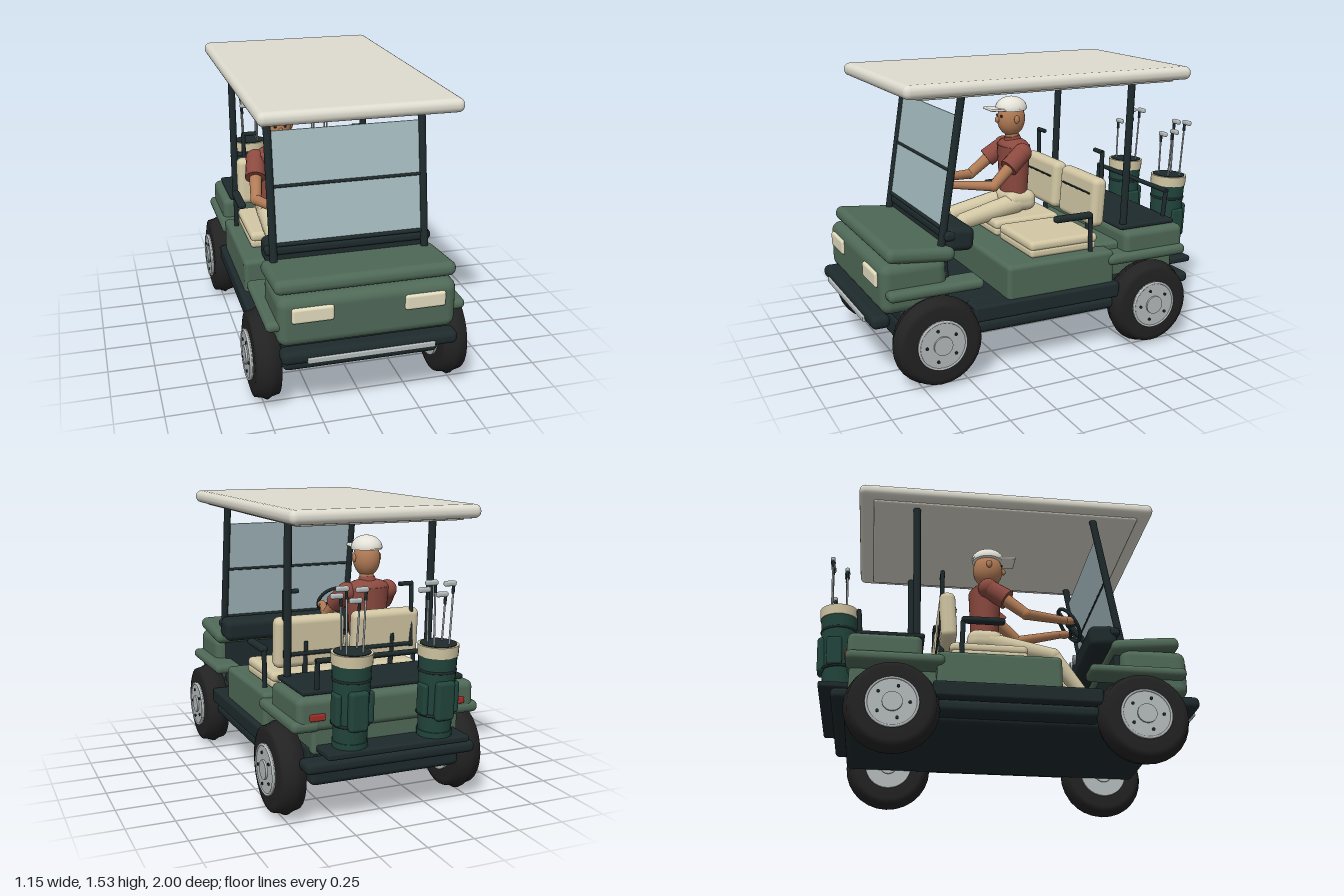
import * as THREE from 'three';
import { RoundedBoxGeometry } from 'three/addons/geometries/RoundedBoxGeometry.js';

const C = {
  green: 0x4f6957, dark: 0x1e2a2c, black: 0x222222, cream: 0xd2c7a4, roof: 0xdedccf, silver: 0xb4babb,
  glass: 0xa5bbc0, bag: 0x21453c, shirt: 0x8c4a40, skin: 0xb27c56, white: 0xe4e2d8, lamp: 0xe0dabc, red: 0xa02c28,
};
const mats = {};
const mat = (c) => (mats[c] ??= new THREE.MeshStandardMaterial({ color: C[c] }));
const V = (a) => new THREE.Vector3(...a);

function add(parent, name, geo, color, pos = [0, 0, 0], rot = [0, 0, 0]) {
  const m = new THREE.Mesh(geo, mat(color));
  m.name = name;
  m.position.set(...pos);
  m.rotation.set(...rot);
  parent.add(m);
  return m;
}
// rounded box given by size and centre
function box(parent, name, color, size, pos, r = 0.02, rx = 0) {
  const rad = Math.min(r, Math.min(...size) * 0.48);
  return add(parent, name, new RoundedBoxGeometry(...size, 3, rad), color, pos, [rx, 0, 0]);
}
// tapered rod between two points
function rod(parent, name, color, a, b, ra, rb = ra, sides = 14) {
  const A = V(a), B = V(b), d = B.clone().sub(A);
  const m = add(parent, name, new THREE.CylinderGeometry(rb, ra, d.length(), sides), color);
  m.position.copy(A).add(B).multiplyScalar(0.5);
  m.quaternion.setFromUnitVectors(new THREE.Vector3(0, 1, 0), d.normalize());
  return m;
}
function ball(parent, name, color, pos, scale) {
  const m = add(parent, name, new THREE.SphereGeometry(1, 20, 14), color, pos);
  m.scale.set(...scale);
  return m;
}
function group(parent, name) {
  const g = new THREE.Group();
  g.name = name;
  parent.add(g);
  return g;
}

function buildWheel(parent, s, z) {
  const w = group(parent, 'wheel');
  w.position.set(s * 0.487, 0.24, z);
  w.rotation.z = -s * Math.PI / 2; // local +y points outward
  const tire = [[0.125, -0.067], [0.19, -0.067], [0.218, -0.06], [0.226, -0.022], [0.238, 0],
    [0.226, 0.022], [0.218, 0.06], [0.19, 0.067], [0.125, 0.067]].map((p) => new THREE.Vector2(...p));
  add(w, 'tire', new THREE.LatheGeometry(tire, 28), 'black');
  add(w, 'rim', new THREE.CylinderGeometry(0.13, 0.13, 0.16, 32), 'silver');
  add(w, 'hubCap', new THREE.CylinderGeometry(0.05, 0.05, 0.18, 24), 'silver');
  add(w, 'rimLip', new THREE.TorusGeometry(0.126, 0.007, 8, 32), 'silver', [0, 0.078, 0], [Math.PI / 2, 0, 0]);
  for (let i = 0; i < 5; i++) {
    const a = i * Math.PI * 0.4 + Math.PI / 2;
    add(w, 'wheelBolt', new THREE.CylinderGeometry(0.008, 0.008, 0.01, 8), 'dark', [0.086 * Math.cos(a), 0.082, 0.086 * Math.sin(a)]);
  }
}

function buildBag(parent, x) {
  const b = group(parent, 'golfBag');
  b.position.set(x, 0.41, -0.875);
  b.rotation.x = -0.05;
  add(b, 'bagBody', new THREE.CylinderGeometry(0.096, 0.082, 0.42, 24), 'bag', [0, 0.21, 0]);
  add(b, 'bagBase', new THREE.CylinderGeometry(0.088, 0.088, 0.03, 24), 'bag', [0, 0.02, 0]);
  add(b, 'bagCollar', new THREE.CylinderGeometry(0.102, 0.1, 0.055, 24), 'cream', [0, 0.44, 0]);
  add(b, 'bagMouth', new THREE.CylinderGeometry(0.09, 0.09, 0.004, 24), 'dark', [0, 0.469, 0]);
  for (const y of [0.12, 0.34])
    add(b, 'bagStrap', new THREE.TorusGeometry(0.09, 0.008, 8, 24), 'dark', [0, y, 0], [Math.PI / 2, 0, 0]);
  box(b, 'bagPocket', 'bag', [0.1, 0.2, 0.05], [0, 0.2, -0.085], 0.02);
  for (const s of [-1, 1]) box(b, 'sidePocket', 'bag', [0.03, 0.16, 0.08], [s * 0.085, 0.2, -0.02], 0.014);
  // clubs fan out slightly, each with its own height
  [[-0.04, 0.04, 0.7], [0.04, 0.035, 0.73], [-0.035, -0.04, 0.77], [0.045, -0.04, 0.78]].forEach(([cx, cz, h]) => {
    rod(b, 'clubShaft', 'silver', [cx, 0.4, cz], [cx * 1.25, h, cz], 0.005, 0.005, 8);
    rod(b, 'clubNeck', 'dark', [cx * 1.2, h - 0.05, cz], [cx * 1.25, h, cz], 0.008, 0.008, 8);
    box(b, 'clubHead', 'silver', [0.065, 0.026, 0.025], [cx * 1.25 + 0.02, h, cz], 0.01);
  });
}

function buildDriver(parent) {
  const d = group(parent, 'driver');
  d.position.x = -0.22;
  // torso and head
  box(d, 'hips', 'cream', [0.25, 0.12, 0.19], [0, 0.72, -0.12], 0.05);
  const torso = add(d, 'torso', new THREE.CylinderGeometry(0.125, 0.105, 0.27, 24), 'shirt', [0, 0.905, -0.115]);
  torso.scale.z = 0.72;
  ball(d, 'shoulders', 'shirt', [0, 1.03, -0.115], [0.13, 0.055, 0.085]);
  rod(d, 'collar', 'shirt', [0, 1.06, -0.11], [0, 1.095, -0.105], 0.055, 0.045);
  rod(d, 'neck', 'skin', [0, 1.05, -0.11], [0, 1.15, -0.1], 0.04);
  ball(d, 'head', 'skin', [0, 1.195, -0.1], [0.075, 0.1, 0.083]);
  ball(d, 'nose', 'skin', [0, 1.195, -0.012], [0.012, 0.018, 0.014]);
  for (const s of [-1, 1]) {
    ball(d, 'ear', 'skin', [s * 0.076, 1.2, -0.1], [0.012, 0.024, 0.016]);
    ball(d, 'eye', 'black', [s * 0.028, 1.217, -0.025], [0.008, 0.008, 0.007]);
  }
  // cap
  const cap = add(d, 'cap', new THREE.SphereGeometry(1, 24, 10, 0, Math.PI * 2, 0, Math.PI / 2), 'white', [0, 1.255, -0.1]);
  cap.scale.set(0.086, 0.07, 0.094);
  add(d, 'capBand', new THREE.CylinderGeometry(0.086, 0.086, 0.012, 24), 'white', [0, 1.254, -0.1]);
  box(d, 'capBrim', 'white', [0.12, 0.014, 0.11], [0, 1.257, -0.003], 0.006, -0.06);
  // limbs
  for (const s of [-1, 1]) {
    const elbow = [s * 0.165, 0.85, 0.09], wrist = [s * 0.085, 0.867, 0.32], knee = [s * 0.085, 0.645, 0.24];
    ball(d, 'shoulder', 'shirt', [s * 0.125, 1.015, -0.11], [0.055, 0.055, 0.055]);
    rod(d, 'sleeve', 'shirt', [s * 0.125, 1.015, -0.11], [s * 0.148, 0.94, -0.01], 0.052, 0.056);
    rod(d, 'upperArm', 'skin', [s * 0.14, 0.96, -0.04], elbow, 0.036, 0.03);
    ball(d, 'elbow', 'skin', elbow, [0.031, 0.031, 0.031]);
    rod(d, 'forearm', 'skin', elbow, wrist, 0.029, 0.022);
    ball(d, 'hand', 'skin', [s * 0.085, 0.868, 0.34], [0.024, 0.024, 0.034]);
    rod(d, 'thigh', 'cream', [s * 0.07, 0.71, -0.1], knee, 0.06, 0.047);
    ball(d, 'knee', 'cream', knee, [0.048, 0.048, 0.048]);
    rod(d, 'shin', 'cream', knee, [s * 0.085, 0.42, 0.41], 0.046, 0.032);
    box(d, 'shoe', 'dark', [0.07, 0.045, 0.13], [s * 0.085, 0.413, 0.44], 0.02);
  }
}

export function createModel() {
  const cart = new THREE.Group();
  cart.name = 'golfCart';

  // chassis, floor and bumpers
  box(cart, 'chassis', 'dark', [0.82, 0.13, 1.66], [0, 0.27, 0], 0.03);
  box(cart, 'sideSill', 'dark', [1.0, 0.07, 0.84], [0, 0.265, 0.03], 0.03);
  box(cart, 'floor', 'dark', [1.04, 0.085, 0.86], [0, 0.345, 0.03], 0.015);
  box(cart, 'underTray', 'dark', [0.82, 0.08, 1.6], [0, 0.35, 0.02], 0.015);
  box(cart, 'frontBumper', 'dark', [0.9, 0.07, 0.1], [0, 0.365, 0.935], 0.03);
  box(cart, 'bumperStrip', 'silver', [0.65, 0.03, 0.02], [0, 0.352, 0.985], 0.006);
  box(cart, 'rearBumper', 'dark', [0.92, 0.06, 0.12], [0, 0.32, -0.84], 0.025);
  box(cart, 'bagPlatform', 'dark', [0.76, 0.035, 0.22], [0, 0.395, -0.86], 0.012);

  // body
  box(cart, 'frontCowl', 'green', [0.91, 0.26, 0.35], [0, 0.525, 0.755], 0.05);
  box(cart, 'hood', 'green', [0.925, 0.075, 0.365], [0, 0.682, 0.717], 0.035, -0.1);
  box(cart, 'dashboard', 'dark', [0.87, 0.125, 0.15], [0, 0.73, 0.495], 0.035, -0.08);
  box(cart, 'cowlTrim', 'dark', [0.88, 0.05, 0.06], [0, 0.755, 0.555], 0.02);
  box(cart, 'firewall', 'dark', [0.8, 0.3, 0.04], [0, 0.53, 0.575], 0.01);
  box(cart, 'seatBase', 'green', [0.98, 0.21, 0.64], [0, 0.46, -0.06], 0.025);
  box(cart, 'rearCore', 'green', [0.8, 0.22, 0.5], [0, 0.47, -0.57], 0.02);
  box(cart, 'rearBody', 'green', [0.96, 0.17, 0.38], [0, 0.565, -0.645], 0.035);
  box(cart, 'rearDeck', 'dark', [0.88, 0.025, 0.35], [0, 0.665, -0.62], 0.01);

  for (const s of [-1, 1]) {
    box(cart, 'headlight', 'lamp', [0.21, 0.08, 0.03], [s * 0.285, 0.57, 0.93], 0.014);
    box(cart, 'taillight', 'red', [0.08, 0.035, 0.02], [s * 0.38, 0.555, -0.836], 0.008);
    box(cart, 'frontFender', 'green', [0.15, 0.055, 0.51], [s * 0.435, 0.505, 0.655], 0.026);
    box(cart, 'rearFender', 'green', [0.15, 0.06, 0.5], [s * 0.435, 0.51, -0.59], 0.028);
    for (const z of [0.66, -0.595]) buildWheel(cart, s, z);

    // roof posts
    rod(cart, 'frontPost', 'dark', [s * 0.4, 0.7, 0.595], [s * 0.4, 1.47, 0.47], 0.02);
    rod(cart, 'rearPost', 'dark', [s * 0.4, 0.66, -0.485], [s * 0.4, 1.47, -0.513], 0.02);

    // seat
    box(cart, 'seatPad', 'cream', [0.4, 0.05, 0.4], [s * 0.22, 0.588, -0.105], 0.02);
    box(cart, 'seatCushion', 'cream', [0.4, 0.055, 0.41], [s * 0.22, 0.625, -0.11], 0.025);
    box(cart, 'backrest', 'cream', [0.39, 0.27, 0.085], [s * 0.22, 0.815, -0.325], 0.035, -0.07);
    box(cart, 'backrestSeam', 'dark', [0.3, 0.009, 0.012], [s * 0.22, 0.865, -0.285], 0.004);
    rod(cart, 'backrestBracket', 'dark', [s * 0.25, 0.56, -0.34], [s * 0.25, 0.82, -0.36], 0.014);

    // armrest and grab handle
    rod(cart, 'armrestPost', 'dark', [s * 0.44, 0.56, -0.255], [s * 0.44, 0.76, -0.25], 0.013);
    box(cart, 'armrest', 'dark', [0.045, 0.035, 0.23], [s * 0.44, 0.768, -0.145], 0.016);
    rod(cart, 'grabPost', 'dark', [s * 0.365, 0.74, -0.36], [s * 0.365, 1.09, -0.36], 0.012);
    rod(cart, 'grabHook', 'dark', [s * 0.37, 1.085, -0.36], [s * 0.29, 1.085, -0.36], 0.012);

    // bag rack ends
    rod(cart, 'rackPost', 'dark', [s * 0.36, 0.66, -0.775], [s * 0.36, 0.82, -0.79], 0.013);
    buildBag(cart, s * 0.23);
  }
  rod(cart, 'seatRail', 'dark', [-0.365, 0.755, -0.36], [0.365, 0.755, -0.36], 0.012);
  rod(cart, 'rackBar', 'dark', [-0.37, 0.82, -0.79], [0.37, 0.82, -0.79], 0.013);

  // roof
  box(cart, 'roof', 'roof', [1.01, 0.07, 1.63], [0, 1.5, -0.015], 0.033);
  box(cart, 'roofLining', 'roof', [0.9, 0.03, 1.47], [0, 1.467, -0.015], 0.012);

  // windshield, leaning back with the front posts
  const lean = -Math.atan2(0.125, 0.77);
  box(cart, 'windshield', 'glass', [0.77, 0.57, 0.008], [0, 1.075, 0.534], 0.003, lean);
  rod(cart, 'windshieldBar', 'dark', [-0.39, 1.083, 0.533], [0.39, 1.083, 0.533], 0.009);
  rod(cart, 'windshieldSill', 'dark', [-0.4, 0.79, 0.58], [0.4, 0.79, 0.58], 0.012);

  // steering and dash details
  const steering = group(cart, 'steering');
  steering.position.set(-0.22, 0.885, 0.355);
  steering.rotation.x = -0.61;
  add(steering, 'steeringWheel', new THREE.TorusGeometry(0.1, 0.01, 10, 32), 'dark');
  for (let i = 0; i < 3; i++) {
    const a = Math.PI / 2 + i * Math.PI * 2 / 3;
    rod(steering, 'wheelSpoke', 'dark', [0, 0, 0], [0.1 * Math.cos(a), 0.1 * Math.sin(a), 0], 0.007);
  }
  ball(steering, 'steeringHub', 'dark', [0, 0, 0], [0.026, 0.026, 0.016]);
  rod(cart, 'steeringColumn', 'dark', [-0.22, 0.885, 0.355], [-0.22, 0.74, 0.48], 0.016);
  for (const x of [-0.05, 0.05])
    add(cart, 'gauge', new THREE.CylinderGeometry(0.028, 0.028, 0.02, 20), 'silver', [x, 0.755, 0.417], [Math.PI / 2, 0, 0]);

  buildDriver(cart);
  return cart;
}
